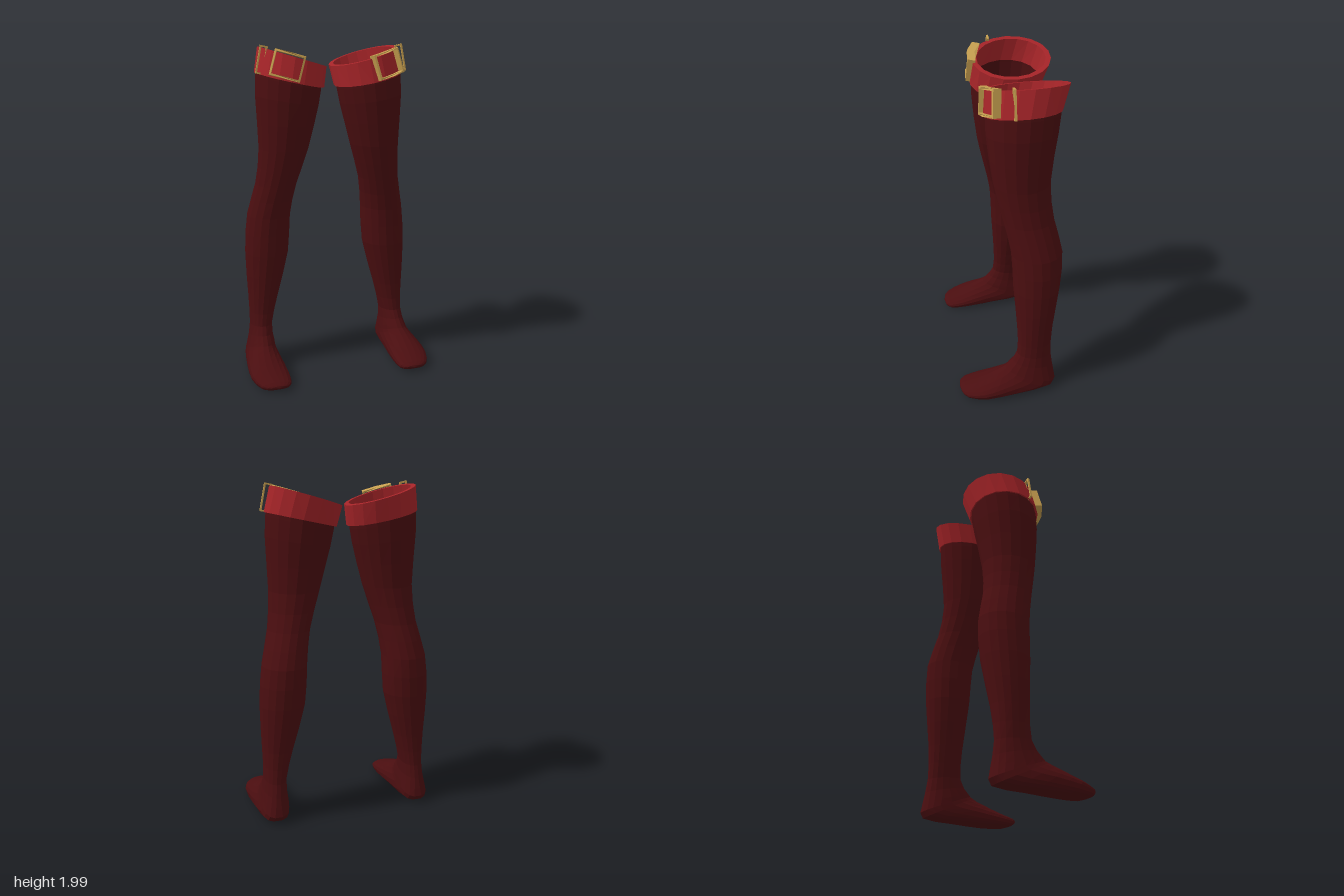
import * as THREE from 'three';

const SIDES = 18;

// One ring: [inner x, outer x, front z, front y, back z, back y, sideways tilt, squareness of back/sole half]
function ringPoints([x0, x1, fz, fy, bz, by, tilt, e = 1]) {
  const pts = [];
  const cx = (x0 + x1) / 2, hx = (x1 - x0) / 2;
  for (let j = 0; j < SIDES; j++) {
    const a = (j / SIDES) * Math.PI * 2;
    let c = Math.cos(a), s = Math.sin(a);
    if (s < 0) {
      c = Math.sign(c) * Math.abs(c) ** e;
      s = -(Math.abs(s) ** e);
    }
    const t = (1 - s) / 2;
    pts.push(cx + hx * c, fy + (by - fy) * t + tilt * hx * c, fz + (bz - fz) * t);
  }
  return pts;
}

// Skin a list of rings: either join the last ring to the first or close the end
function loft(rings, loop) {
  const pos = rings.flatMap(ringPoints);
  const idx = [];
  const n = rings.length;
  for (let i = 0; i < (loop ? n : n - 1); i++) {
    const next = (i + 1) % n;
    for (let j = 0; j < SIDES; j++) {
      const k = (j + 1) % SIDES;
      const a = i * SIDES + j, b = i * SIDES + k;
      const c = next * SIDES + j, d = next * SIDES + k;
      idx.push(a, b, c, b, d, c);
    }
  }
  if (!loop) {
    const [x0, x1, fz, fy, bz, by] = rings[n - 1];
    pos.push((x0 + x1) / 2, (fy + by) / 2, (fz + bz) / 2 + 0.008);
    const base = (n - 1) * SIDES;
    for (let j = 0; j < SIDES; j++) idx.push(base + j, base + (j + 1) % SIDES, n * SIDES);
  }
  const g = new THREE.BufferGeometry();
  g.setAttribute('position', new THREE.Float32BufferAttribute(pos, 3));
  g.setIndex(idx);
  return g;
}

// Smooth rings through a few key rings; the top leans sideways and the sole is squarer
function smoothRings(keys) {
  const [sides, front, back] = [0, 2, 4].map((o) =>
    new THREE.SplineCurve(keys.map((k) => new THREE.Vector2(k[o], k[o + 1]))));
  const count = (keys.length - 1) * 2;
  return Array.from({ length: count + 1 }, (_, i) => {
    const [x, f, b] = [sides, front, back].map((c) => c.getPoint(i / count));
    const tilt = 0.23 * THREE.MathUtils.clamp((f.y - 1.45) / 0.33, 0, 1);
    const e = THREE.MathUtils.clamp(0.7 + (b.y - 0.03) * 2, 0.7, 1);
    return [x.x, x.y, f.x, f.y, b.x, b.y, tilt, e];
  });
}

// Rectangular frame with a midpoint in the long rails so it can be bent
function frame(w, h, bar, depth, bend) {
  const rect = (C, a, b) =>
    new C([[-a, -b], [0, -b], [a, -b], [a, b], [0, b], [-a, b]].map(([x, y]) => new THREE.Vector2(x, y)));
  const shape = rect(THREE.Shape, w / 2, h / 2);
  shape.holes.push(rect(THREE.Path, w / 2 - bar, h / 2 - bar));
  const g = new THREE.ExtrudeGeometry(shape, { depth, bevelEnabled: false });
  g.translate(0, 0, -depth / 2);
  const p = g.attributes.position;
  for (let i = 0; i < p.count; i++) p.setZ(i, p.getZ(i) - bend * p.getX(i) ** 2);
  return g;
}

// Flat-faced copy, reflected for the right leg with corner order restored
function finish(geo, side) {
  const g = geo.index ? geo.toNonIndexed() : geo.clone();
  if (side < 0) {
    g.scale(-1, 1, 1);
    const p = g.attributes.position;
    const a = new THREE.Vector3(), b = new THREE.Vector3();
    for (let i = 0; i < p.count; i += 3) {
      a.fromBufferAttribute(p, i + 1);
      b.fromBufferAttribute(p, i + 2);
      p.setXYZ(i + 1, b.x, b.y, b.z);
      p.setXYZ(i + 2, a.x, a.y, a.z);
    }
  }
  g.computeVertexNormals();
  return g;
}

function material(name, color, side = THREE.FrontSide) {
  const m = new THREE.MeshStandardMaterial({ color, side, flatShading: true });
  m.name = name;
  return m;
}

export function createModel() {
  const maroon = material('dark maroon', 0x4a0e10, THREE.DoubleSide);
  const red = material('red', 0xa52428);
  const gold = material('gold', 0xc8a050);

  // Thigh, knee, calf and ankle, from the top down
  const legKeys = [
    [0.05, 0.435, 0.12, 1.84, -0.29, 1.85],
    [0.075, 0.448, 0.122, 1.68, -0.27, 1.68],
    [0.14, 0.436, 0.09, 1.4, -0.232, 1.4],
    [0.208, 0.455, 0.042, 1.18, -0.25, 1.18],
    [0.24, 0.503, 0.0, 0.98, -0.297, 0.98],
    [0.255, 0.524, -0.013, 0.74, -0.288, 0.74],
    [0.328, 0.515, -0.033, 0.46, -0.249, 0.46],
    [0.373, 0.51, -0.03, 0.28, -0.24, 0.26],
  ];
  // Rings fan around the heel and run along to the toe
  const footKeys = [
    [0.366, 0.53, 0.03, 0.195, -0.263, 0.11],
    [0.36, 0.545, 0.06, 0.172, -0.25, 0.03],
    [0.349, 0.566, 0.13, 0.138, -0.05, 0.018],
    [0.34, 0.57, 0.22, 0.1, 0.15, 0.011],
    [0.35, 0.53, 0.303, 0.07, 0.28, 0.014],
    [0.385, 0.48, 0.328, 0.055, 0.32, 0.03],
  ];
  const stocking = loft(smoothRings([...legKeys, ...footKeys]), false);

  // Cuff: a thick band, outside down and inside up
  const cuff = loft([
    [0.018, 0.42, 0.122, 1.925, -0.335, 1.935, 0.29],
    [0.04, 0.45, 0.138, 1.79, -0.293, 1.805, 0.22],
    [0.062, 0.425, 0.112, 1.795, -0.27, 1.81, 0.22],
    [0.044, 0.394, 0.095, 1.925, -0.305, 1.935, 0.29],
  ], true);

  // Buckle: bent frame passing through the cuff wall
  const buckle = frame(0.178, 0.148, 0.011, 0.045, 2.2);
  const across = new THREE.Vector3(0.165, 0.045, -0.05).normalize();
  const out = across.clone().cross(new THREE.Vector3(-0.02, 0.14, -0.015)).normalize();
  buckle.applyMatrix4(new THREE.Matrix4()
    .makeBasis(across, out.clone().cross(across), out)
    .setPosition(0.302, 1.89, 0.123));

  // Keeper loop: narrow frame wrapped over the outer side of the cuff
  const keeper = frame(0.046, 0.16, 0.009, 0.012, 0);
  keeper.rotateZ(0.2);
  keeper.translate(0.422, 1.917, 0);

  const model = new THREE.Group();
  model.name = 'stockings';
  for (const side of [1, -1]) {
    const leg = new THREE.Group();
    leg.name = side > 0 ? 'leftLeg' : 'rightLeg';
    for (const [name, geo, mat] of [
      ['stocking', stocking, maroon],
      ['cuff', cuff, red],
      ['buckle', buckle, gold],
      ['keeperLoop', keeper, gold],
    ]) {
      const mesh = new THREE.Mesh(finish(geo, side), mat);
      mesh.name = name;
      leg.add(mesh);
    }
    model.add(leg);
  }
  return model;
}
